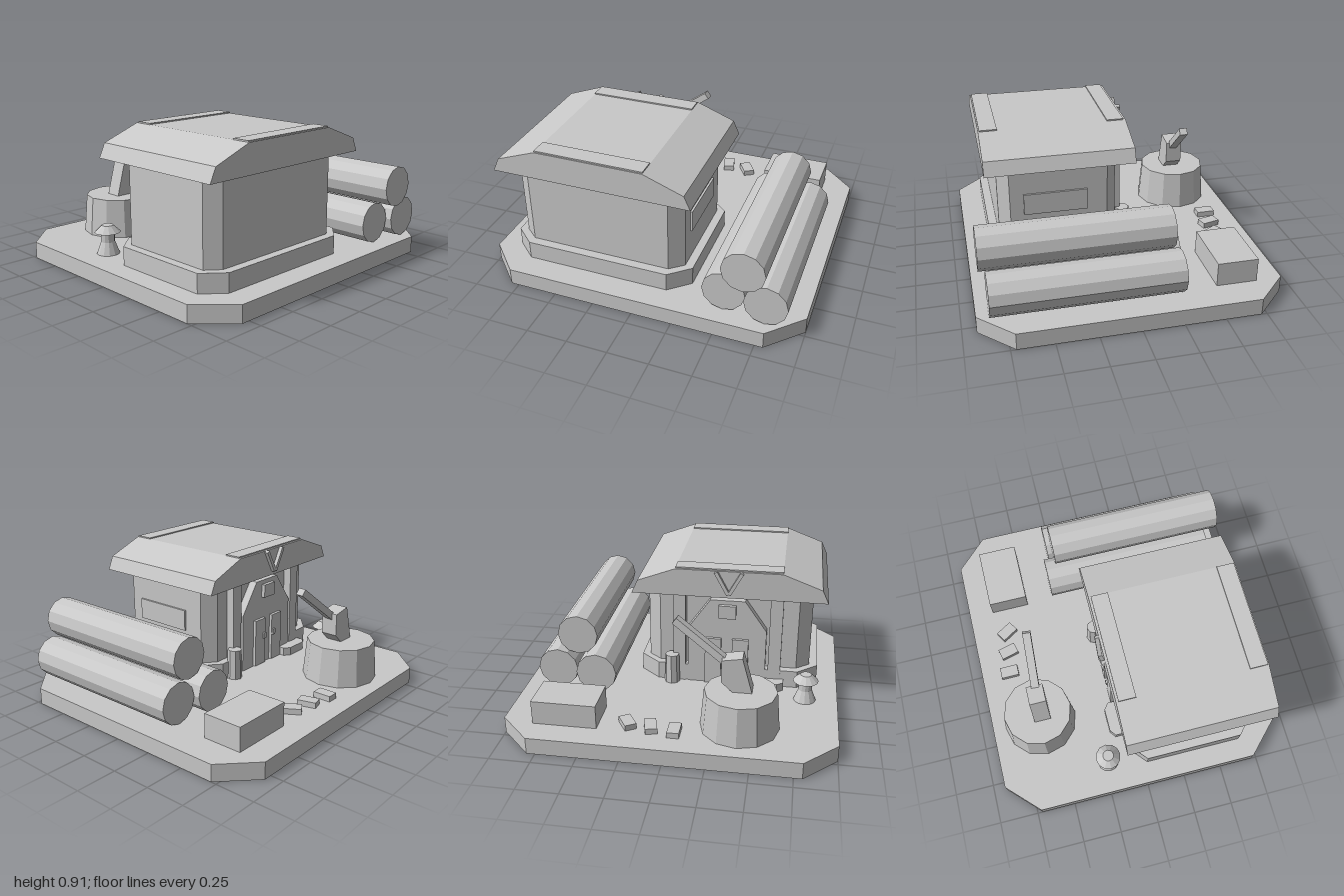
import * as THREE from 'three';

// double-sided because the ground slab is an open shell
const grey = new THREE.MeshStandardMaterial({ color: 0xc9c9c9, flatShading: true, side: THREE.DoubleSide });
grey.name = 'plain grey';

export function createModel() {
  const root = new THREE.Group();

  const add = (name, geometry, x = 0, y = 0, z = 0) => {
    const mesh = new THREE.Mesh(geometry, grey);
    mesh.name = name;
    mesh.position.set(x, y, z);
    root.add(mesh);
    return mesh;
  };

  // box given by its limits on each axis
  const block = (name, x0, x1, y0, y1, z0, z1) =>
    add(name, new THREE.BoxGeometry(x1 - x0, y1 - y0, z1 - z0),
      (x0 + x1) / 2, (y0 + y1) / 2, (z0 + z1) / 2);

  const outline = (points) => new THREE.Shape(points.map(([x, y]) => new THREE.Vector2(x, y)));

  // outline in the xy plane, extruded from z0 to z1
  const profile = (name, points, z0, z1) =>
    add(name, new THREE.ExtrudeGeometry(outline(points), { depth: z1 - z0, bevelEnabled: false }), 0, 0, z0);

  // corner-cut rectangle, as x and -z
  const cutPlan = (x0, x1, z0, z1, cx, cz) => [
    [x0 + cx, -z1], [x1 - cx, -z1], [x1, -z1 + cz], [x1, -z0 - cz],
    [x1 - cx, -z0], [x0 + cx, -z0], [x0, -z0 - cz], [x0, -z1 + cz],
  ];

  // upright prism on a corner-cut plan
  const slab = (name, x0, x1, y0, y1, z0, z1, cx, cz) => {
    const mesh = profile(name, cutPlan(x0, x1, z0, z1, cx, cz), 0, y1 - y0);
    mesh.rotation.x = -Math.PI / 2;
    mesh.position.set(0, y0, 0);
  };

  // ground slab: a top and eight sides, open underneath
  const ground = cutPlan(-1, 1, -0.917, 0.917, 0.2, 0.2);
  add('groundTop', new THREE.ShapeGeometry(outline(ground)), 0, 0.105, 0).rotation.x = -Math.PI / 2;
  ground.forEach(([ax, ay], i) => {
    const [bx, by] = ground[(i + 1) % ground.length];
    const side = add('groundSide', new THREE.PlaneGeometry(Math.hypot(bx - ax, by - ay), 0.105),
      (ax + bx) / 2, 0.0525, -(ay + by) / 2);
    side.rotation.y = Math.atan2(by - ay, bx - ax);
  });

  // house body
  slab('foundation', -0.867, 0.292, 0.105, 0.22, -0.085, 0.762, 0.127, 0.11);
  slab('walls', -0.813, 0.241, 0.22, 0.73, -0.035, 0.707, 0.083, 0.068);

  // roof with two thin strips on top
  profile('roof', [
    [-0.9, 0.725], [0.323, 0.725], [0.285, 0.81],
    [0.045, 0.9], [-0.618, 0.9], [-0.86, 0.81],
  ], -0.13, 0.787);
  for (const [z0, z1] of [[-0.115, -0.01], [0.672, 0.78]])
    block('roofStrip', -0.62, 0.045, 0.895, 0.908, z0, z1);

  // V-shaped gable ornament
  for (const side of [-1, 1]) {
    const arm = add('gableArm', new THREE.BoxGeometry(0.022, 0.162, 0.025), -0.29 + side * 0.042, 0.826, -0.142);
    arm.rotation.z = -side * 0.5;
  }

  // entrance: posts, arch, double door, handles and sign
  const mid = -0.282;
  for (const side of [-1, 1]) {
    const px = mid + side * 0.308;
    block('entrancePost', px - 0.04, px + 0.04, 0.105, 0.728, -0.09, -0.03);
    const dx = mid + side * 0.087;
    block('doorLeaf', dx - 0.052, dx + 0.052, 0.11, 0.43, -0.11, -0.08);
    const hx = mid + side * 0.05;
    block('doorHandle', hx - 0.012, hx + 0.012, 0.29, 0.33, -0.122, -0.1);
  }
  profile('entranceArch', [
    [mid - 0.25, 0.105], [mid + 0.25, 0.105], [mid + 0.25, 0.49],
    [mid + 0.11, 0.69], [mid - 0.11, 0.69], [mid - 0.25, 0.49],
  ], -0.09, -0.03);
  block('sign', mid - 0.055, mid + 0.055, 0.575, 0.662, -0.115, -0.08);

  // small things beside the entrance
  slab('cornerStone', -0.655, -0.43, 0.105, 0.16, -0.165, -0.06, 0.04, 0.03);
  add('barrel', new THREE.CylinderGeometry(0.045, 0.05, 0.195, 8), 0.07, 0.2025, -0.105);

  // side window plate
  block('sideWindow', 0.235, 0.254, 0.415, 0.55, 0.16, 0.555);

  // ground lamp with a conical cap
  add('lamp', new THREE.LatheGeometry([
    [0, 0.105], [0.07, 0.105], [0.042, 0.18], [0.042, 0.235],
    [0.08, 0.24], [0.035, 0.283], [0, 0.283],
  ].map(([r, y]) => new THREE.Vector2(r, y)), 12), -0.795, 0, -0.222);

  // stacked logs
  for (const [x, y, z0, z1] of [
    [0.526, 0.235, -0.323, 0.807], [0.784, 0.235, -0.287, 0.843], [0.655, 0.461, -0.253, 0.88],
  ]) {
    const log = add('log', new THREE.CylinderGeometry(0.129, 0.129, z1 - z0, 12), x, y, (z0 + z1) / 2);
    log.rotation.x = Math.PI / 2;
  }

  // chopping stump
  add('stump', new THREE.CylinderGeometry(0.216, 0.237, 0.245, 12), -0.418, 0.2275, -0.595);

  // axe stuck in the stump
  profile('axeHead', [
    [-0.487, 0.345], [-0.375, 0.345], [-0.305, 0.41], [-0.305, 0.55], [-0.425, 0.57],
  ], -0.626, -0.521);
  const grip = new THREE.Vector3(-0.36, 0.497, -0.572);
  const tip = new THREE.Vector3(-0.024, 0.752, -0.54);
  const handle = add('axeHandle', new THREE.BoxGeometry(0.05, 0.044, grip.distanceTo(tip)));
  handle.position.copy(grip).add(tip).multiplyScalar(0.5);
  handle.lookAt(tip);

  // crate and wood chips
  block('crate', 0.417, 0.81, 0.105, 0.255, -0.755, -0.503);
  for (const [x, z, turn] of [[-0.046, -0.728, 0], [0.099, -0.706, 0.25], [0.242, -0.686, 0.55]])
    add('woodChip', new THREE.BoxGeometry(0.073, 0.036, 0.117), x, 0.123, z).rotation.y = turn;

  return root;
}
